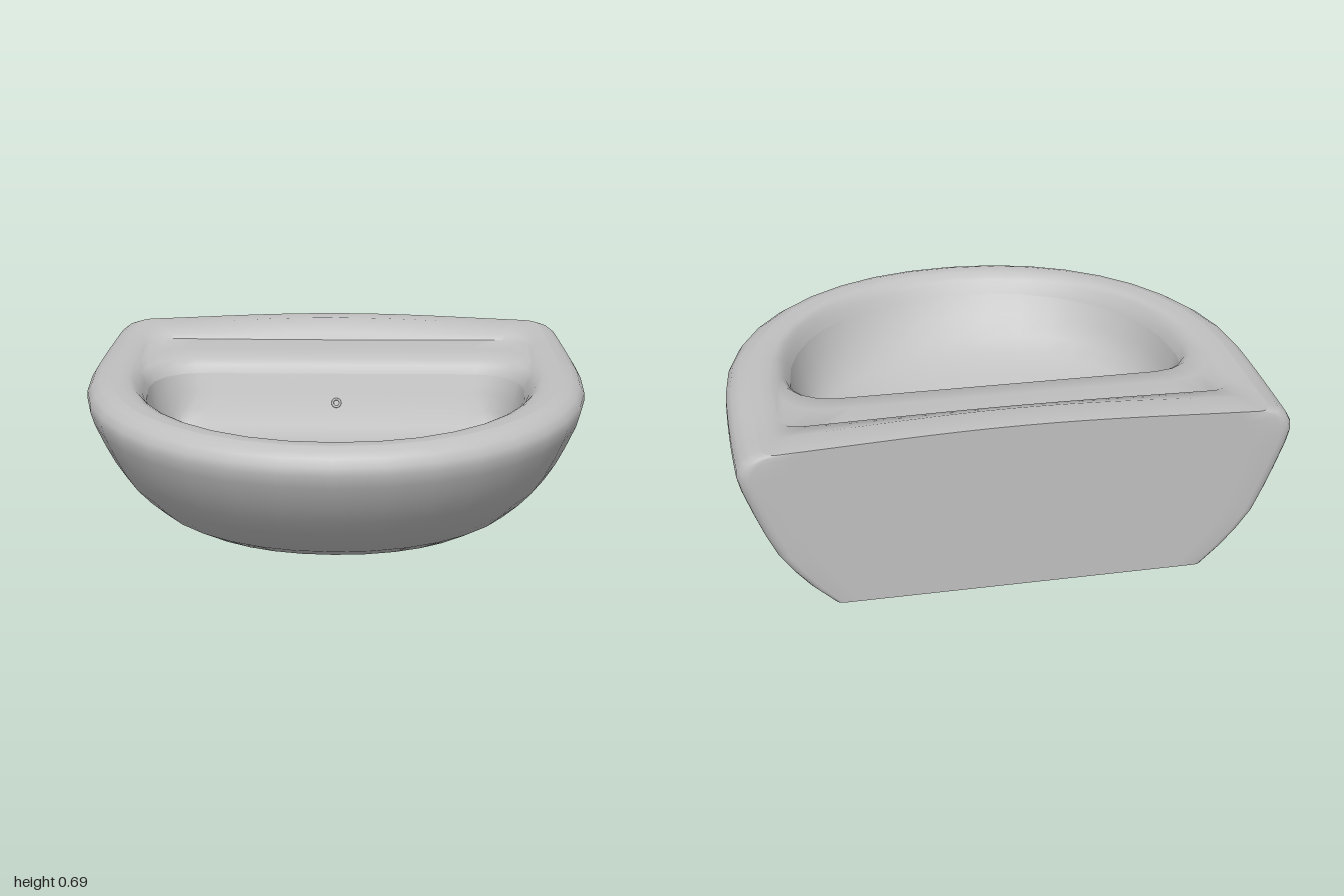
import * as THREE from 'three';
import { toCreasedNormals } from 'three/addons/utils/BufferGeometryUtils.js';

const { smoothstep } = THREE.MathUtils;

// Rounded D outline: straight back, rounded back corners, elliptical front.
// y is the height at the front, yb the height along the back.
function ring([y, w, f, b, c, zc, yb = y]) {
  const half = [];
  const add = (x, z) => {
    const t = Math.max(0, (zc - z) / 0.6);
    const k = smoothstep(-z, 0.52, 0.61 + 0.25 * smoothstep(Math.abs(x), 0.74, 0.88));
    const swell = 0.3 + 0.7 * Math.cos(Math.min(1, Math.abs(x)) * Math.PI / 2) ** 1.5;
    half.push([x * (1 - 0.025 * t * t), y + (yb - y) * k * swell, z]);
  };
  for (let i = 0; i < 8; i++) add((w - c) * i / 8, b);
  for (let i = 0; i < 4; i++) {
    const a = i / 4 * Math.PI / 2;
    add(w - c + c * Math.sin(a), b + c - c * Math.cos(a));
  }
  for (let i = 0; i < 8; i++) add(w, b + c + (zc - b - c) * i / 8);
  for (let i = 0; i <= 9; i++) {
    const a = i / 9 * Math.PI / 2;
    add(w * Math.max(0, Math.cos(a)) ** 0.95, zc + (f - zc) * Math.sin(a) ** 0.95);
  }
  const mirrored = half.slice(1, -1).reverse().map(([x, h, z]) => [-x, h, z]);
  return [...half, ...mirrored].map((p) => new THREE.Vector3(...p));
}

// Skin a stack of outlines, leaving out collapsed triangles
function loft(specs, crease) {
  const rings = specs.map(ring);
  const pos = [];
  const tri = (a, b, c) => {
    if (new THREE.Triangle(a, b, c).getArea() < 1e-7) return;
    for (const p of [a, b, c]) pos.push(p.x, p.y, p.z);
  };
  for (let i = 0; i + 1 < rings.length; i++) {
    const lo = rings[i], hi = rings[i + 1], n = lo.length;
    for (let j = 0; j < n; j++) {
      const k = (j + 1) % n;
      tri(lo[j], hi[j], lo[k]);
      tri(lo[k], hi[j], hi[k]);
    }
  }
  const g = new THREE.BufferGeometry();
  g.setAttribute('position', new THREE.Float32BufferAttribute(pos, 3));
  return toCreasedNormals(g, crease);
}

export function createModel() {
  const group = new THREE.Group();
  const ceramic = new THREE.MeshStandardMaterial({ color: 0xc0c0c0 });
  ceramic.name = 'ceramic grey';
  const add = (name, geometry) => {
    const mesh = new THREE.Mesh(geometry, ceramic);
    mesh.name = name;
    group.add(mesh);
    return mesh;
  };

  // Each row: height, half width, front z, back z, corner radius, widest z, back height
  const crest = [0.635, 0.91, 0.735, -0.81, 0.05, -0.2, 0.68];
  const lip = [0.555, 0.757, 0.617, -0.318, 0.18, -0.11];

  // Underside and curved outer wall, up to the crest of the rim
  add('outerShell', loft([
    [0, 0, -0.2, -0.2, 0, -0.2],
    [0, 0.655, 0.27, -0.7, 0.03, -0.25],
    [0.03, 0.69, 0.325, -0.81, 0.03, -0.25],
    [0.1, 0.77, 0.455, -0.81, 0.04, -0.25],
    [0.17, 0.83, 0.54, -0.81, 0.04, -0.24],
    [0.24, 0.88, 0.615, -0.81, 0.04, -0.23],
    [0.32, 0.92, 0.685, -0.81, 0.05, -0.22],
    [0.4, 0.952, 0.74, -0.81, 0.05, -0.21],
    [0.5, 0.988, 0.795, -0.81, 0.05, -0.2],
    [0.55, 1, 0.81, -0.81, 0.05, -0.2],
    [0.58, 0.998, 0.808, -0.81, 0.05, -0.2, 0.59],
    [0.608, 0.98, 0.79, -0.81, 0.05, -0.2, 0.63],
    [0.626, 0.95, 0.767, -0.81, 0.05, -0.2, 0.665],
    crest,
  ], 0.8));

  // Rim top, raised back ledge and the step down to the tap deck
  add('rimAndDeck', loft([
    crest,
    [0.635, 0.87, 0.71, -0.7, 0.08, -0.2, 0.69],
    [0.632, 0.835, 0.69, -0.607, 0.1, -0.2, 0.65],
    [0.626, 0.822, 0.68, -0.592, 0.1, -0.2, 0.62],
    [0.62, 0.808, 0.667, -0.46, 0.16, -0.17],
    [0.608, 0.79, 0.652, -0.358, 0.19, -0.13],
    [0.587, 0.773, 0.636, -0.332, 0.19, -0.12],
    lip,
  ], 0.8));

  // Bowl: sloping back wall meeting a rounded floor in a sharp crease
  add('bowl', loft([
    lip,
    [0.48, 0.737, 0.565, -0.292, 0.16, -0.11],
    [0.41, 0.71, 0.5, -0.268, 0.1, -0.11],
    [0.35, 0.67, 0.425, -0.242, 0.04, -0.12],
    [0.305, 0.55, 0.32, -0.222, 0.01, -0.12],
    [0.265, 0.41, 0.2, -0.212, 0.008, -0.12],
    [0.225, 0.26, 0.08, -0.205, 0.006, -0.13],
    [0.195, 0.13, -0.03, -0.198, 0.005, -0.13],
    [0.17, 0, -0.12, -0.12, 0, -0.12],
  ], 0.75));

  // Drain and overflow fittings
  const fitting = (name, y, z, tilt) => {
    const mesh = add(name, new THREE.TorusGeometry(0.016, 0.005, 8, 16));
    mesh.position.set(0, y, z);
    mesh.rotation.x = tilt;
  };
  fitting('drainRing', 0.176, -0.12, -Math.PI / 2);
  fitting('overflowRing', 0.44, -0.278, -0.35);

  return group;
}
